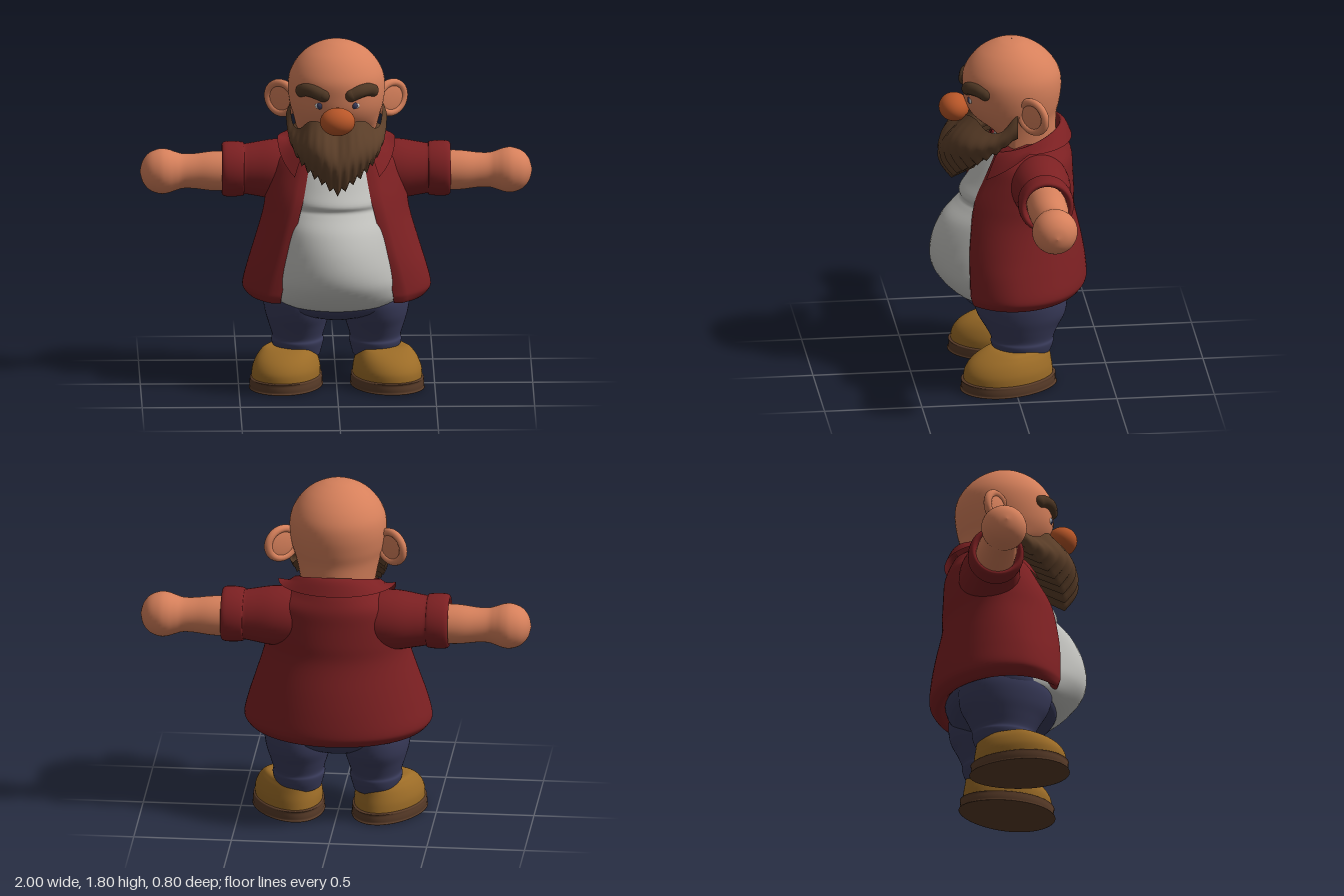
import * as THREE from 'three';

const mat = (name, color, side = THREE.FrontSide) => {
  const m = new THREE.MeshStandardMaterial({ color, side });
  m.name = name;
  return m;
};

// Smooth surface from a rule fn(u, v) -> [x, y, z]
function grid(fn, nu, nv, closed) {
  const pos = [], idx = [], cols = closed ? nu : nu + 1;
  for (let j = 0; j <= nv; j++)
    for (let i = 0; i < cols; i++) pos.push(...fn(i / nu, j / nv));
  for (let j = 0; j < nv; j++)
    for (let i = 0; i < nu; i++) {
      const n = (i + 1) % cols;
      const a = j * cols + i, b = j * cols + n, c = a + cols, d = b + cols;
      idx.push(a, b, d, a, d, c);
    }
  const g = new THREE.BufferGeometry();
  g.setAttribute('position', new THREE.Float32BufferAttribute(pos, 3));
  g.setIndex(idx);
  g.computeVertexNormals();
  return g;
}

// Catmull-Rom sampling of rows of numbers
function sample(rows, t) {
  const f = t * (rows.length - 1), k = Math.min(Math.floor(f), rows.length - 2), w = f - k;
  const r = (i) => rows[Math.max(0, Math.min(rows.length - 1, i))];
  return rows[0].map((_, c) => {
    const [p, q, s, e] = [r(k - 1)[c], r(k)[c], r(k + 1)[c], r(k + 2)[c]];
    return q + 0.5 * w * (s - p + w * (2 * p - 5 * q + 4 * s - e + w * (3 * (q - s) + e - p)));
  });
}

// Closed body from rows [y, half width, front z, back z]
function loft(rows, zc, nu = 48, taper = 0) {
  return grid((u, v) => {
    const [y, rx, zf, zb] = sample(rows, v);
    const a = u * Math.PI * 2, c = Math.cos(a);
    return [rx * Math.sin(a) * (1 + taper * c), y, zc + c * (c > 0 ? zf - zc : zc - zb)];
  }, nu, (rows.length - 1) * 5, true);
}

// Round part turned about the x axis from points [x, radius]
function turned(points) {
  const curve = new THREE.SplineCurve(points.map(([x, r]) => new THREE.Vector2(r, x)));
  const pts = curve.getPoints(points.length * 4).map((p) => new THREE.Vector2(Math.max(0, p.x), p.y));
  return new THREE.LatheGeometry(pts, 36).rotateZ(-Math.PI / 2);
}

export function createModel() {
  const skin = mat('skin', 0xd6805b), noseRed = mat('nose', 0xb85628);
  const hair = mat('beard brown', 0x5c3f29, THREE.DoubleSide), browHair = mat('brow brown', 0x4e3724);
  const red = mat('jacket red', 0x7c2022, THREE.DoubleSide), white = mat('shirt white', 0xc2c2be);
  const navy = mat('trouser navy', 0x3a3c5c), tan = mat('shoe tan', 0x9c6c27);
  const soleBrown = mat('sole brown', 0x583b28), eyeWhite = mat('eye white', 0xd8d4d0);

  const model = new THREE.Group();
  const add = (name, geo, material, x = 0, y = 0, z = 0, parent = model) => {
    const m = new THREE.Mesh(geo, material);
    m.name = name;
    m.position.set(x, y, z);
    parent.add(m);
    return m;
  };
  const ball = (rx, ry, rz) => new THREE.SphereGeometry(1, 32, 20).scale(rx, ry, rz);

  // Head and neck
  add('head', loft([
    [1.2, 0.18, 0.02, -0.24], [1.32, 0.2, 0.08, -0.245], [1.4, 0.218, 0.18, -0.247], [1.47, 0.238, 0.222, -0.262],
    [1.55, 0.248, 0.232, -0.272], [1.62, 0.241, 0.23, -0.265], [1.68, 0.214, 0.202, -0.235],
    [1.73, 0.174, 0.16, -0.19], [1.765, 0.128, 0.11, -0.14], [1.788, 0.078, 0.06, -0.09],
    [1.797, 0.038, 0.022, -0.055], [1.8, 0.001, -0.018, -0.021]], -0.02), skin);
  add('nose', ball(0.09, 0.072, 0.078), noseRed, 0, 1.44, 0.277);

  for (const s of [1, -1]) {
    // Ears swept backwards, each with a raised rim
    const ear = new THREE.Group();
    ear.name = s > 0 ? 'leftEar' : 'rightEar';
    ear.position.set(s * 0.28, 1.475, -0.095);
    ear.rotation.y = s * 0.7;
    model.add(ear);
    add('earShell', ball(0.09, 0.085, 0.016), skin, 0, 0, 0, ear);
    add('earRim', new THREE.TorusGeometry(0.078, 0.02, 12, 36).scale(1.1, 1, 1), skin, 0, 0, 0, ear);

    // Eyes and brows
    add('eyeWhite', ball(0.024, 0.02, 0.015), eyeWhite, s * 0.09, 1.508, 0.198);
    add('pupil', ball(0.017, 0.019, 0.012), navy, s * 0.088, 1.508, 0.207);
    const path = new THREE.CatmullRomCurve3(
      [[0.07, 1.563, 0.212], [0.115, 1.58, 0.2], [0.155, 1.583, 0.168], [0.178, 1.57, 0.135]]
        .map(([x, y, z]) => new THREE.Vector3(s * x, y, z)));
    add('brow', new THREE.TubeGeometry(path, 16, 0.034, 14), browHair);
    for (const t of [0, 1]) {
      const p = path.getPoint(t);
      add('browEnd', ball(0.034, 0.034, 0.034), browHair, p.x, p.y, p.z);
    }
  }

  // Beard wraps the jaw, bulges forward and ends in a ragged point
  const edge = [[1.39, 1.05], [1.42, 1.1], [1.42, 1.145], [1.37, 1.195], [1.38, 1.26], [1.47, 1.34]];
  add('beard', grid((u, v) => {
    const q = 1 - 2 * u, t = Math.abs(q), a = q * 1.58;
    const [top, low] = sample(edge, t);
    const w = Math.min(1, v / 0.8), bulge = Math.sin(Math.PI * w), fade = 1 - t * t * t * t;
    const jag = Math.abs(((t * 9 + 0.5) % 1) - 0.5) * 2;
    let y = top + (low + 0.03 * jag * fade - top) * w ** 0.9;
    let rx = 0.235 + 0.022 * bulge, rz = 0.25 + 0.06 * w + 0.1 * bulge * fade;
    rz -= 0.012 * jag * w * fade;
    if (v > 0.8) {
      const k = (v - 0.8) / 0.2;
      y += 0.07 * k;
      rx -= 0.08 * k;
      rz -= 0.16 * k;
    }
    return [rx * Math.sin(a), y, -0.02 + rz * Math.cos(a)];
  }, 72, 20, false), hair);

  // Shirt with a chest crease over the belly
  add('shirt', loft([
    [0.43, 0.01, 0.02, -0.04], [0.425, 0.24, 0.2, -0.2], [0.46, 0.36, 0.29, -0.28], [0.55, 0.37, 0.375, -0.3],
    [0.64, 0.352, 0.402, -0.3], [0.75, 0.33, 0.385, -0.28], [0.85, 0.315, 0.335, -0.28], [0.92, 0.3, 0.267, -0.28],
    [0.95, 0.29, 0.243, -0.28], [0.985, 0.29, 0.25, -0.28], [1.05, 0.28, 0.207, -0.28],
    [1.15, 0.25, 0.145, -0.27], [1.25, 0.19, 0.08, -0.25], [1.3, 0.17, 0.06, -0.24]], -0.06), white);

  // Open jacket: rows of [y, half width, back z, centre z, edge x, edge z]
  const jacketRows = [
    [0.51, 0.39, -0.31, 0, 0.3, 0.17], [0.47, 0.43, -0.355, 0, 0.31, 0.22], [0.5, 0.47, -0.39, 0, 0.307, 0.24],
    [0.54, 0.48, -0.4, 0, 0.3, 0.243], [0.64, 0.455, -0.39, 0, 0.275, 0.245], [0.75, 0.42, -0.37, -0.02, 0.246, 0.243],
    [0.9, 0.375, -0.337, -0.05, 0.213, 0.225], [1.0, 0.36, -0.335, -0.07, 0.186, 0.2],
    [1.1, 0.345, -0.33, -0.09, 0.165, 0.15], [1.18, 0.315, -0.325, -0.1, 0.15, 0.11],
    [1.24, 0.24, -0.305, -0.1, 0.13, 0.08], [1.29, 0.19, -0.28, -0.1, 0.12, 0.05]];
  add('jacket', grid((u, v) => {
    const [y, rx, zb, zc, xe, ze] = sample(jacketRows, v);
    const a0 = Math.asin(xe / rx), rf = (ze - zc) / Math.cos(a0);
    const a = a0 + u * 2 * (Math.PI - a0), c = Math.cos(a);
    const k = u < 0.001 || u > 0.999 ? 0.93 : 1; // turned-in front edge
    return [k * rx * Math.sin(a), y, k * (zc + c * (c > 0 ? rf : zc - zb))];
  }, 64, 55, false), red);

  // Folded collar with two front points
  add('collar', grid((u, v) => {
    const a = 0.8 + u * (2 * Math.PI - 1.6), c = Math.cos(a), back = (1 - c) / 2, front = Math.max(0, c);
    const rows = [
      [0.2, 1.18 + 0.08 * back, 0.19], [0.212, 1.22 + 0.135 * back, 0.195],
      [0.245, 1.2 + 0.14 * back, 0.225], [0.3, 1.275 - 0.23 * front, 0.255 + 0.06 * front]];
    const [rx, y, rz] = sample(rows, 1 - v);
    return [rx * Math.sin(a), y, -0.07 + rz * c];
  }, 48, 12, false), red);

  // Sleeves with rolled cuffs, arms and fists
  const sleeve = turned([[0.12, 0.13], [0.22, 0.15], [0.32, 0.152], [0.42, 0.136], [0.465, 0.129], [0.475, 0.137],
    [0.52, 0.142], [0.565, 0.14], [0.582, 0.128], [0.575, 0.112], [0.54, 0.1]]);
  const arm = turned([[0.45, 0.098], [0.56, 0.102], [0.64, 0.1], [0.72, 0.09], [0.78, 0.089], [0.82, 0.1],
    [0.86, 0.113], [0.9, 0.115], [0.95, 0.096], [0.985, 0.055], [1.0, 0]]);
  // Shoes and legs, in coordinates around their own centre
  const leg = loft([[0.15, 0.115, 0.08, -0.18], [0.19, 0.126, 0.1, -0.2], [0.225, 0.134, 0.112, -0.21],
    [0.25, 0.13, 0.11, -0.21], [0.31, 0.148, 0.14, -0.235], [0.38, 0.168, 0.18, -0.27],
    [0.46, 0.178, 0.2, -0.28], [0.53, 0.17, 0.18, -0.27]], -0.05);
  const sole = loft([[0, 0.001, 0.001, -0.001], [0, 0.165, 0.237, -0.237], [0.012, 0.178, 0.25, -0.248],
    [0.045, 0.178, 0.25, -0.248], [0.06, 0.168, 0.24, -0.238], [0.06, 0.1, 0.1, -0.1]], 0, 48, 0.1);
  const upper = loft([[0.05, 0.168, 0.24, -0.236], [0.1, 0.168, 0.236, -0.232], [0.145, 0.155, 0.205, -0.225],
    [0.18, 0.135, 0.15, -0.22], [0.202, 0.11, 0.08, -0.215], [0.2, 0.05, 0.02, -0.14], [0.19, 0.001, -0.04, -0.06]], 0, 48, 0.1);
  for (const s of [1, -1]) {
    const side = s > 0 ? 'left' : 'right', turn = s > 0 ? 0 : Math.PI;
    add(side + 'Sleeve', sleeve, red, 0, 1.095, -0.132).rotation.y = turn;
    add(side + 'Arm', arm, skin, 0, 1.083, -0.137).rotation.y = turn;
    add(side + 'Leg', leg, navy, s * 0.198, 0, 0);
    const shoe = new THREE.Group();
    shoe.name = side + 'Shoe';
    shoe.position.set(s * 0.252, 0, 0.025);
    shoe.rotation.y = s * 0.3;
    model.add(shoe);
    add('sole', sole, soleBrown, 0, 0, 0, shoe);
    add('upper', upper, tan, 0, 0, 0, shoe);
  }

  // Seat of the trousers
  add('hips', loft([[0.345, 0.001, -0.02, -0.03], [0.355, 0.1, 0.1, -0.14], [0.4, 0.3, 0.215, -0.24],
    [0.45, 0.362, 0.25, -0.3], [0.52, 0.375, 0.25, -0.32], [0.56, 0.3, 0.2, -0.28]], -0.03), navy);

  return model;
}
